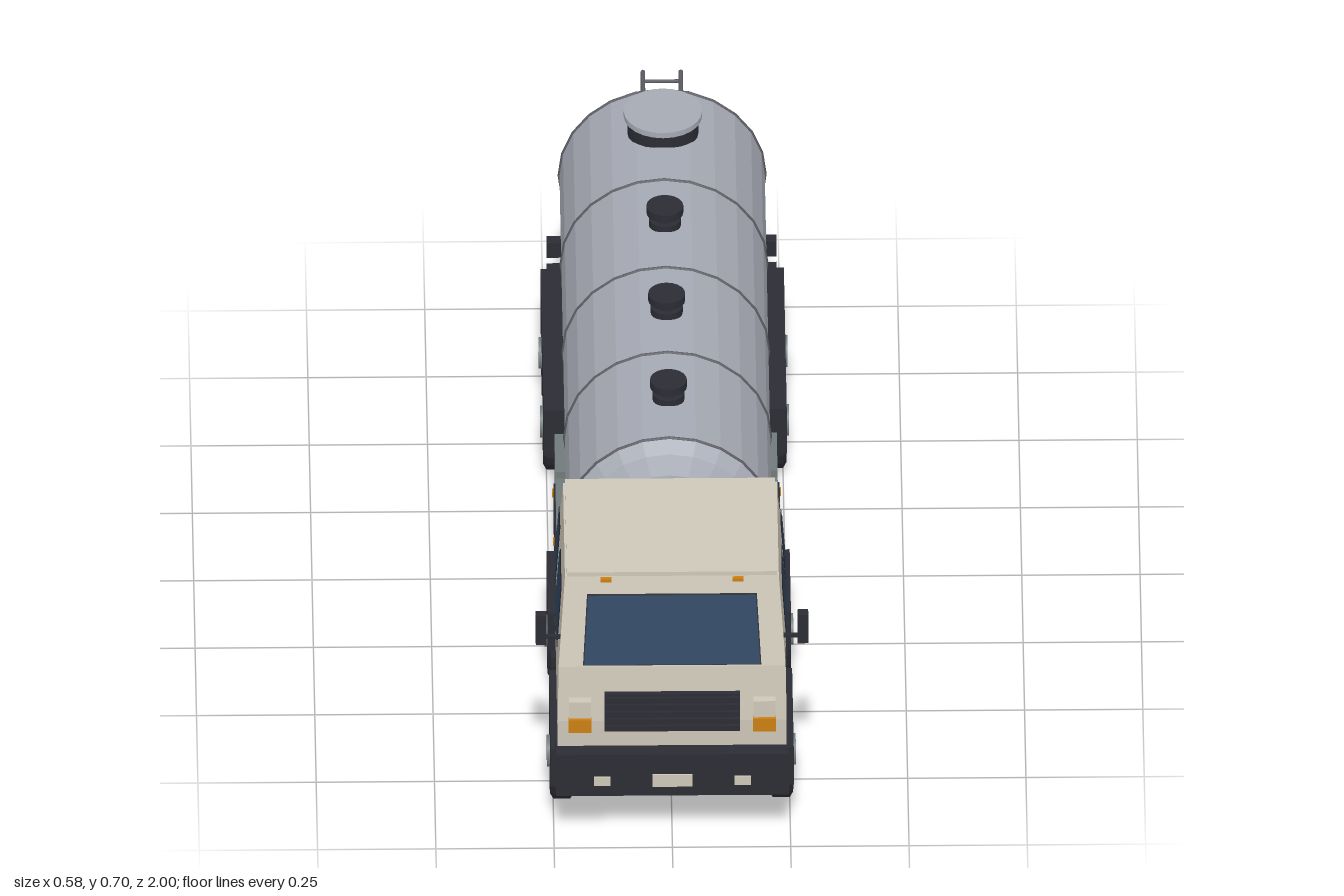
import * as THREE from 'three';

const mat = (name, color) => Object.assign(new THREE.MeshStandardMaterial({ color }), { name });

export function createModel() {
  const root = new THREE.Group();
  root.name = 'tankTruck';
  const M = {
    cream: mat('creamPaint', 0xcfc8b9), dark: mat('darkPlastic', 0x2c2c35), glass: mat('blueGlass', 0x2e4562),
    tank: mat('tankSteel', 0xa6aab4), box: mat('greyGreen', 0x717b7b), rim: mat('rimSteel', 0xadb3b8),
    band: mat('darkSteel', 0x5c5e64), orange: mat('orangeLamp', 0xcb7f12), red: mat('redLamp', 0xb01e1e),
    yellow: mat('yellowStripe', 0xc9b21c),
  };
  const sides = [1, -1];

  // Helpers
  const add = (name, geo, m, x = 0, y = 0, z = 0, parent = root) => {
    const mesh = new THREE.Mesh(geo, m);
    mesh.name = name;
    mesh.position.set(x, y, z);
    parent.add(mesh);
    return mesh;
  };
  const flat = (g) => {
    const f = g.index ? g.toNonIndexed() : g;
    f.computeVertexNormals();
    return f;
  };
  // Box given by its limits
  const block = (name, m, x0, x1, y0, y1, z0, z1) =>
    add(name, new THREE.BoxGeometry(x1 - x0, y1 - y0, z1 - z0), m, (x0 + x1) / 2, (y0 + y1) / 2, (z0 + z1) / 2);
  // Same box on both sides of the truck
  const pair = (name, m, x0, x1, ...r) => {
    block(name + 'Left', m, x0, x1, ...r);
    block(name + 'Right', m, -x1, -x0, ...r);
  };
  const lathe = (pts, n) => flat(new THREE.LatheGeometry(pts.map((p) => new THREE.Vector2(...p)), n));
  const disc = (name, m, r, y0, y1, z, n = 20) =>
    add(name, new THREE.CylinderGeometry(r, r, y1 - y0, n), m, 0, (y0 + y1) / 2, z);
  const quads = (list) => {
    const v = [];
    list.forEach(([a, b, c, d]) => v.push(...a, ...b, ...c, ...a, ...c, ...d));
    const g = new THREE.BufferGeometry();
    g.setAttribute('position', new THREE.Float32BufferAttribute(v, 3));
    g.computeVertexNormals();
    return g;
  };

  // Cab shell: levels of height, half width and front z
  const levels = [[0.235, 0.242, 0.96], [0.3, 0.242, 0.962], [0.43, 0.24, 0.948], [0.627, 0.226, 0.897]];
  const zBack = 0.55;
  const at = (y, k) => {
    let i = 0;
    while (i < 2 && y > levels[i + 1][0]) i++;
    const [a, b] = [levels[i], levels[i + 1]];
    return a[k] + (b[k] - a[k]) * (y - a[0]) / (b[0] - a[0]);
  };
  const loop = ([y, w, z]) => [[-w, y, z], [w, y, z], [w, y, zBack], [-w, y, zBack]];
  const shell = [];
  for (let i = 0; i < 3; i++) {
    const a = loop(levels[i]), b = loop(levels[i + 1]);
    for (let k = 0; k < 4; k++) shell.push([a[k], a[(k + 1) % 4], b[(k + 1) % 4], b[k]]);
  }
  shell.push(loop(levels[3]), loop(levels[0]).reverse());
  add('cab', quads(shell), M.cream);
  block('cabRoof', M.cream, -0.222, 0.222, 0.625, 0.637, 0.55, 0.897);

  // Thin plates lying on the cab front or sides
  const onFront = (o) => ([x, y]) => [x, y, at(y, 2) + o];
  const onSide = (s, o) => ([z, y]) => [s * (at(y, 1) + o), y, z];
  const grow = (c, e) => {
    const mx = c.reduce((t, p) => t + p[0], 0) / 4, my = c.reduce((t, p) => t + p[1], 0) / 4;
    return c.map(([u, v]) => [u + e * Math.sign(u - mx), v + e * Math.sign(v - my)]);
  };
  const windowLayers = [['Frame', M.cream, 0.007, 0.002], ['Seal', M.dark, 0.0025, 0.004], ['Glass', M.glass, 0, 0.006]];
  const windshield = [[-0.186, 0.437], [0.186, 0.437], [0.177, 0.588], [-0.177, 0.588]];
  const sideWindows = {
    doorWindow: [[0.906, 0.45], [0.72, 0.45], [0.72, 0.583], [0.876, 0.583]],
    rearWindow: [[0.662, 0.45], [0.575, 0.45], [0.575, 0.583], [0.655, 0.583]],
  };
  for (const [part, m, e, o] of windowLayers) {
    add('windshield' + part, quads([grow(windshield, e).map(onFront(o))]), m);
    for (const s of sides) for (const [n, c] of Object.entries(sideWindows)) {
      const q = grow(c, e).map(onSide(s, o));
      add(n + part, quads([s > 0 ? q : q.reverse()]), m);
    }
  }
  pair('doorHandle', M.dark, 0.238, 0.248, 0.385, 0.4, 0.717, 0.752);

  // Grille, lamps and mirrors
  block('grille', M.dark, -0.143, 0.143, 0.275, 0.37, 0.94, 0.966);
  for (let i = 0; i < 5; i++) block('grilleSlat', M.dark, -0.141, 0.141, 0.28 + i * 0.018, 0.292 + i * 0.018, 0.96, 0.972);
  pair('headlight', M.cream, 0.172, 0.218, 0.315, 0.356, 0.94, 0.974);
  pair('turnSignal', M.orange, 0.171, 0.219, 0.278, 0.31, 0.94, 0.974);
  pair('roofMarker', M.orange, 0.128, 0.151, 0.617, 0.625, 0.89, 0.906);
  pair('mirrorArm', M.dark, 0.23, 0.275, 0.483, 0.49, 0.913, 0.921);
  pair('mirror', M.dark, 0.265, 0.288, 0.474, 0.547, 0.909, 0.93);

  // Front bumper
  block('frontBumper', M.dark, -0.246, 0.246, 0.13, 0.235, 0.945, 0.995);
  pair('fogLamp', M.cream, 0.131, 0.166, 0.158, 0.18, 0.99, 0.999);
  block('frontPlate', M.cream, -0.042, 0.042, 0.155, 0.185, 0.99, 0.999);

  // Fenders with wheel arches cut out of the lower edge
  const axles = [0.785, 0.34, -0.435, -0.69];
  const fender = (name, z0, z1, yb, centres) => {
    const r = 0.107, yc = 0.103, t = Math.asin((yb - yc) / r);
    const sh = new THREE.Shape();
    sh.moveTo(z0, yb);
    for (const c of centres) {
      sh.lineTo(c - r * Math.cos(t), yb);
      sh.absarc(c, yc, r, Math.PI - t, t, true);
    }
    sh.lineTo(z1, yb).lineTo(z1, 0.22).lineTo(z0, 0.22);
    const g = new THREE.ExtrudeGeometry(sh, { depth: 0.106, bevelEnabled: false, curveSegments: 10 });
    for (const x of [0.257, -0.151]) add(name, g, M.dark, x).rotation.y = -Math.PI / 2;
  };
  fender('frontFender', 0.655, 0.95, 0.125, [axles[0]]);
  fender('secondFender', 0.215, 0.45, 0.125, [axles[1]]);
  fender('rearFender', -0.83, -0.305, 0.105, [axles[3], axles[2]]);
  pair('mudFlap', M.dark, 0.155, 0.257, 0.055, 0.21, -0.835, -0.827);

  // Wheels: dual on the rear axles
  const tyre = lathe([[0.062, -0.025], [0.09, -0.025], [0.102, -0.018], [0.102, 0.018], [0.09, 0.025], [0.068, 0.025], [0.062, 0.012]], 24);
  const rim = new THREE.CylinderGeometry(0.068, 0.068, 0.044, 24);
  const hub = new THREE.CylinderGeometry(0.034, 0.034, 0.062, 16);
  axles.forEach((z, i) => {
    for (const s of sides) for (const x of i > 1 ? [0.232, 0.179] : [0.232]) {
      const w = new THREE.Group();
      w.name = 'wheel';
      w.position.set(s * x, 0.102, z);
      w.rotation.z = -s * Math.PI / 2;
      add('tyre', tyre, M.dark, 0, 0, 0, w);
      add('rim', rim, M.rim, 0, 0, 0, w);
      add('hub', hub, M.box, 0, 0, 0, w);
      root.add(w);
    }
    block('axle', M.dark, -0.205, 0.205, 0.093, 0.114, z - 0.015, z + 0.015);
    if (i > 1) add('differential', new THREE.SphereGeometry(0.036, 12, 8), M.dark, 0, 0.11, z);
  });

  // Chassis
  pair('frameRail', M.dark, 0.078, 0.1, 0.16, 0.21, -0.97, 0.94);
  for (const z of [0.62, 0.4, 0.13, -0.08, -0.285, -0.56, -0.65, -0.87])
    block('crossMember', M.dark, -0.15, 0.15, 0.17, 0.205, z - 0.015, z + 0.015);
  block('engine', M.box, -0.075, 0.075, 0.135, 0.215, 0.47, 0.9);
  block('sump', M.dark, -0.033, 0.033, 0.076, 0.14, 0.5, 0.75);
  block('driveShaft', M.dark, -0.012, 0.012, 0.1, 0.122, -0.69, 0.5);
  pair('batteryBox', M.dark, 0.13, 0.24, 0.092, 0.205, 0.457, 0.648);
  pair('batteryStep', M.dark, 0.14, 0.243, 0.195, 0.215, 0.457, 0.55);

  // Side lockers
  pair('frontLocker', M.box, 0.125, 0.235, 0.1, 0.208, -0.07, 0.153);
  pair('lockerDoor', M.dark, 0.234, 0.239, 0.107, 0.2, -0.064, 0.147);
  for (const z of [0.125, -0.055]) pair('sideMarker', M.orange, 0.237, 0.242, 0.18, 0.193, z, z + 0.014);
  pair('rearLocker', M.box, 0.125, 0.235, 0.1, 0.208, -0.235, -0.095);

  // Tank with domed ends, bands and saddles
  const yT = 0.442, rT = 0.217;
  const prof = [[0, -0.922], [0.085, -0.917], [0.155, -0.902], [0.195, -0.885], [rT, -0.86],
    [rT, 0.435], [0.195, 0.462], [0.155, 0.482], [0.085, 0.498], [0, 0.505]];
  add('tank', lathe(prof, 24), M.tank, 0, yT, 0).rotation.x = Math.PI / 2;
  for (const z of [0.432, 0.115, -0.2, -0.525, -0.857])
    add('tankBand', new THREE.TorusGeometry(rT, 0.004, 6, 24), M.band, 0, yT, z);
  for (const z of [0.4, 0.13, -0.285, -0.65]) for (const s of sides) {
    add('saddle', new THREE.BoxGeometry(0.05, 0.075, 0.03), M.rim, s * 0.155, 0.245, z).rotation.z = -s * 0.6;
    block('saddleFoot', M.dark, s * 0.13 - 0.03, s * 0.13 + 0.03, 0.185, 0.225, z - 0.018, z + 0.018);
  }

  // Top valves and manhole
  for (const z of [0.28, -0.04, -0.365]) {
    disc('valveFlange', M.dark, 0.034, 0.652, 0.672, z);
    disc('valveStem', M.dark, 0.022, 0.65, 0.69, z);
    disc('valveCap', M.dark, 0.039, 0.686, 0.704, z);
  }
  disc('manholeNeck', M.dark, 0.075, 0.64, 0.688, -0.72, 24);
  disc('manholeLid', M.tank, 0.083, 0.688, 0.701, -0.72, 24);

  // Rear ladder
  for (const s of sides) {
    const path = new THREE.CurvePath();
    const p = [[0.2, -0.925], [0.664, -0.925], [0.664, -0.8], [0.64, -0.8]].map(([y, z]) => new THREE.Vector3(s * 0.04, y, z));
    for (let i = 0; i < 3; i++) path.add(new THREE.LineCurve3(p[i], p[i + 1]));
    add('ladderRail', new THREE.TubeGeometry(path, 60, 0.005, 6), M.band);
  }
  for (let i = 0; i < 8; i++)
    add('ladderRung', new THREE.CylinderGeometry(0.004, 0.004, 0.08, 6), M.band, 0, 0.25 + i * 0.055, -0.925).rotation.z = Math.PI / 2;

  // Rear lamp bar and striped underrun bar
  block('lampBar', M.dark, -0.243, 0.243, 0.155, 0.192, -0.992, -0.965);
  [[0.2, 0.235, M.orange], [0.165, 0.198, M.red], [0.13, 0.163, M.cream]].forEach(([a, b, m]) =>
    pair('tailLamp', m, a, b, 0.161, 0.186, -0.998, -0.99));
  block('rearPlate', M.cream, -0.045, 0.045, 0.128, 0.158, -0.988, -0.982);
  block('underrunBar', M.dark, -0.243, 0.243, 0.085, 0.125, -0.988, -0.962);
  pair('underrunBracket', M.dark, 0.08, 0.1, 0.09, 0.17, -0.975, -0.955);
  for (let i = 0; i < 12; i++)
    block('warningStripe', i % 2 ? M.yellow : M.red, -0.24 + i * 0.04, -0.2 + i * 0.04, 0.09, 0.12, -0.994, -0.987);

  return root;
}
